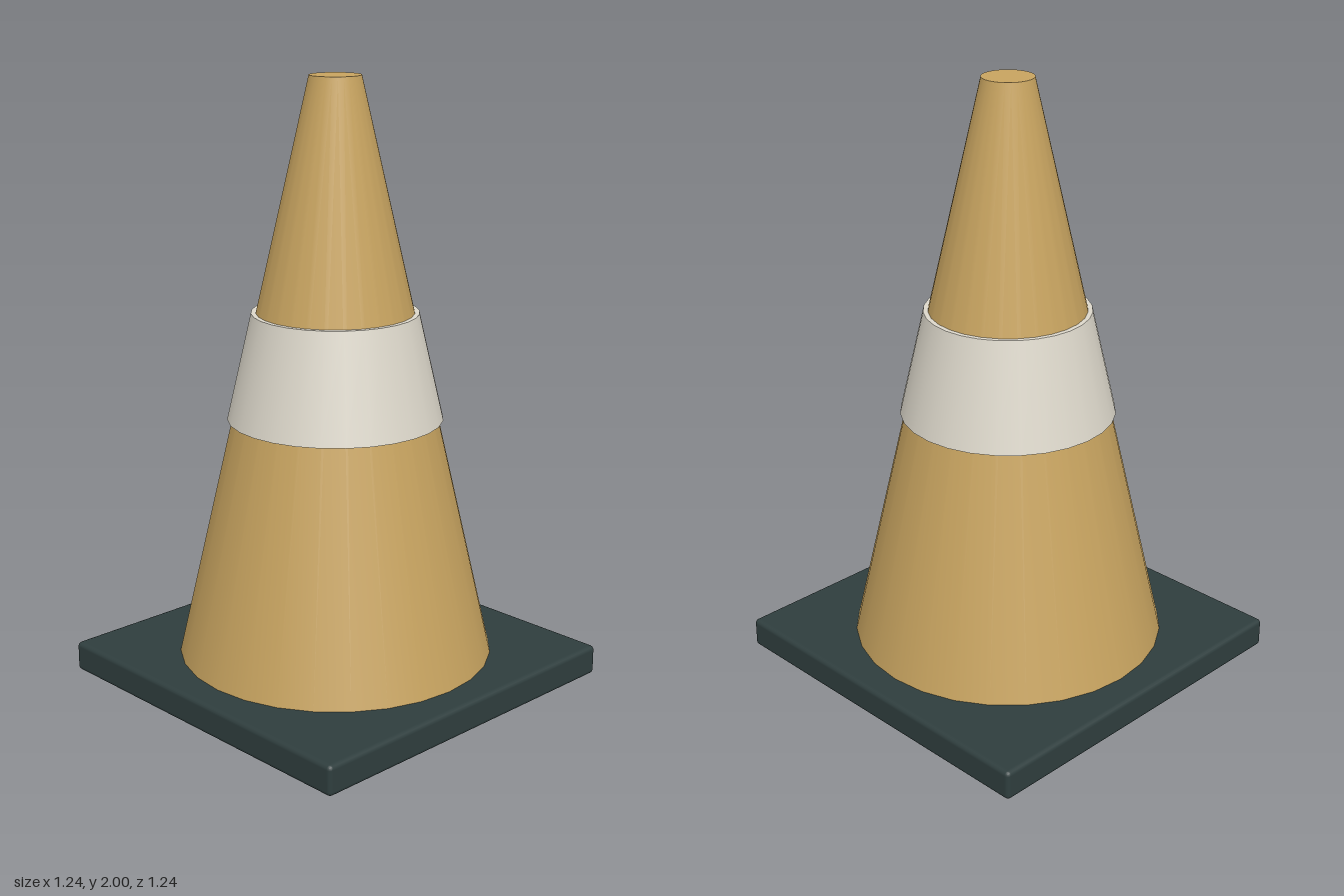
import * as THREE from 'three';
import { RoundedBoxGeometry } from 'three/addons/geometries/RoundedBoxGeometry.js';

const SIDES = 28;

function material(name, color) {
  const m = new THREE.MeshStandardMaterial({ color });
  m.name = name;
  return m;
}

export function createModel() {
  const group = new THREE.Group();
  group.name = 'trafficCone';
  const ochre = material('ochre', 0xc8a460);
  const offWhite = material('offWhite', 0xddd8cb);
  const darkSlate = material('darkSlate', 0x2f3e3e);

  function add(name, geometry, mat, y) {
    const mesh = new THREE.Mesh(geometry, mat);
    mesh.name = name;
    mesh.position.y = y;
    group.add(mesh);
  }

  // Tapered round part standing between two heights
  function frustum(name, rTop, rBottom, y0, y1, mat) {
    add(name, new THREE.CylinderGeometry(rTop, rBottom, y1 - y0, SIDES), mat, (y0 + y1) / 2);
  }

  // Square foot with softened edges
  add('base', new RoundedBoxGeometry(1.24, 0.1, 1.24, 2, 0.015), darkSlate, 0.05);
  // Main cone with a flat top
  frustum('coneBody', 0.083, 0.52, 0.1, 2, ochre);
  // Sleeve sitting just proud of the cone
  frustum('reflectiveBand', 0.271, 0.352, 0.9, 1.25, offWhite);

  return group;
}
